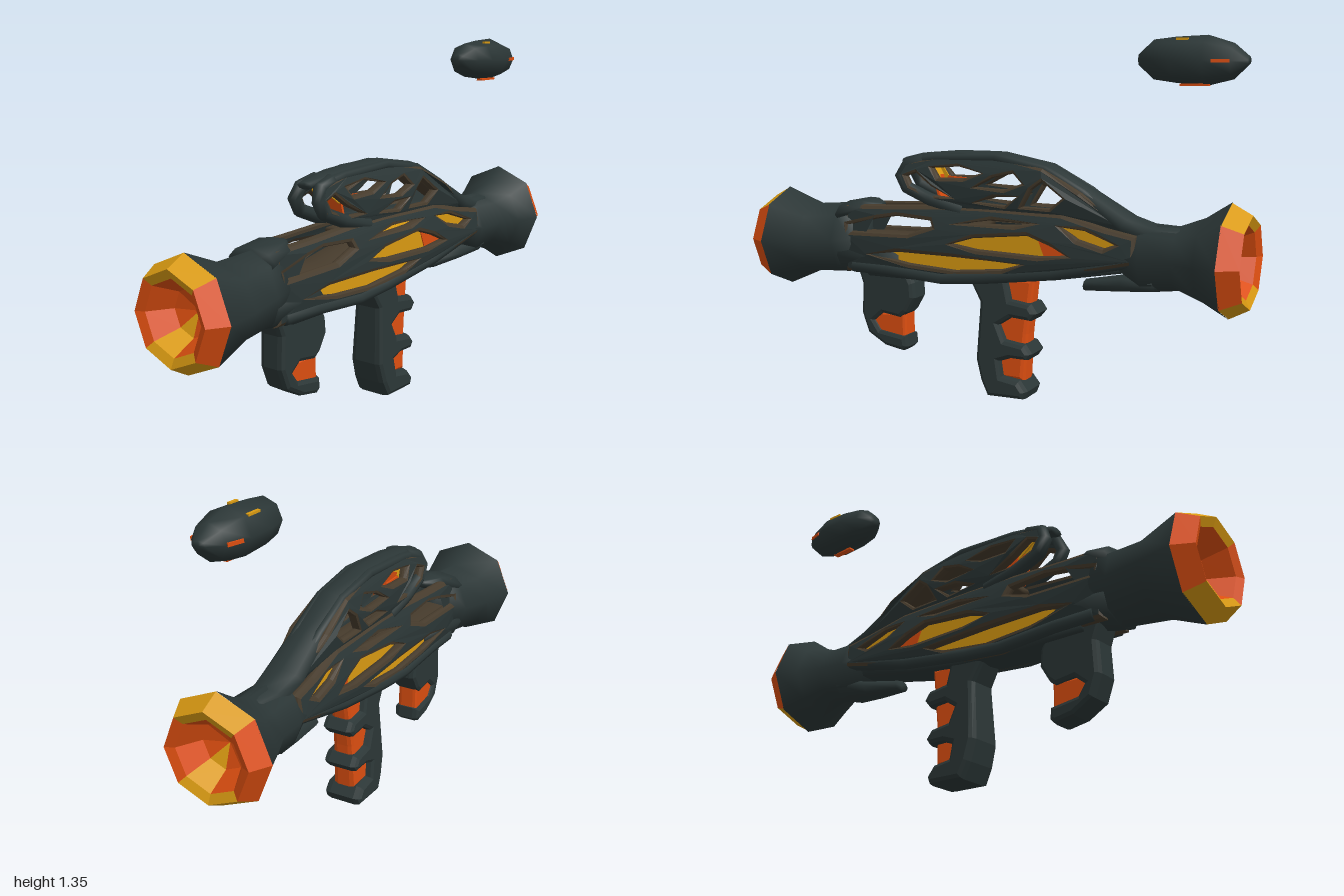
import * as THREE from 'three';

const mat = (name, color) => {
  const m = new THREE.MeshStandardMaterial({ color });
  m.name = name;
  return m;
};

export function createModel() {
  const root = new THREE.Group();
  const dark = mat('dark shell', 0x2b3636);
  const brown = mat('brown lining', 0x463b2c);
  const orange = mat('orange', 0xdc4e10);
  const yellow = mat('yellow', 0xd99a12);

  const add = (name, geo, material, parent = root) => {
    const m = new THREE.Mesh(geo, material);
    m.name = name;
    parent.add(m);
    return m;
  };

  // Oval tube through points [x, y, z, halfWidth, halfHeight]; fixed tangent optional
  function sweep(pts, { n = 8, tangent = null, caps = true } = {}) {
    const P = pts.map(p => new THREE.Vector3(p[0], p[1], p[2]));
    const pos = [], idx = [];
    P.forEach((p, i) => {
      const t = tangent ?? P[Math.min(i + 1, P.length - 1)].clone().sub(P[Math.max(i - 1, 0)]).normalize();
      const side = new THREE.Vector3(1, 0, 0).addScaledVector(t, -t.x).normalize();
      const up = t.clone().cross(side);
      for (let k = 0; k < n; k++) {
        const a = k / n * Math.PI * 2;
        const v = p.clone().addScaledVector(side, Math.cos(a) * pts[i][3])
          .addScaledVector(up, Math.sin(a) * pts[i][4]);
        pos.push(v.x, v.y, v.z);
        if (i < P.length - 1) {
          const k1 = (k + 1) % n, A = i * n + k, B = i * n + k1, C = A + n, D = B + n;
          idx.push(A, B, D, A, D, C);
        }
      }
    });
    if (caps) {
      const last = (P.length - 1) * n, c0 = P.length * n;
      pos.push(...P[0].toArray(), ...P[P.length - 1].toArray());
      for (let k = 0; k < n; k++) {
        const k1 = (k + 1) % n;
        idx.push(c0, k1, k, c0 + 1, last + k, last + k1);
      }
    }
    const g = new THREE.BufferGeometry();
    g.setAttribute('position', new THREE.Float32BufferAttribute(pos, 3));
    g.setIndex(idx);
    g.computeVertexNormals();
    return g;
  }

  // Side outline in [z, y] with holes, extruded across x with a bevelled edge
  function slab(outline, half, bevel, holes = [], size = bevel * 0.7) {
    const toPts = o => o.map(p => new THREE.Vector2(p[0], p[1]));
    const s = new THREE.Shape(toPts(outline));
    s.holes = holes.map(h => new THREE.Path(toPts(h)));
    const depth = 2 * (half - bevel);
    const g = new THREE.ExtrudeGeometry(s, {
      depth, bevelEnabled: bevel > 0, bevelThickness: bevel, bevelSize: size,
      bevelOffset: -size, bevelSegments: 2,
    });
    g.translate(0, 0, -depth / 2);
    return g.rotateY(-Math.PI / 2);
  }

  // Axial shells: rows of [z, y, halfWidth, halfHeight], back to front
  const axial = (rows, caps = true) =>
    sweep(rows.map(r => [0, r[1], r[0], r[2], r[3]]), { tangent: new THREE.Vector3(0, 0, 1), caps });
  add('frontBell', axial([
    [0.545, 0.56, 0.001, 0.001], [0.56, 0.565, 0.11, 0.14], [0.64, 0.555, 0.13, 0.142],
    [0.78, 0.545, 0.165, 0.14], [0.93, 0.543, 0.2, 0.203],
  ], false), dark);
  add('rearBell', axial([
    [-0.93, 0.585, 0.2, 0.205], [-0.84, 0.58, 0.165, 0.15], [-0.75, 0.58, 0.125, 0.115],
    [-0.63, 0.575, 0.115, 0.125], [-0.55, 0.585, 0.1, 0.075], [-0.53, 0.585, 0.001, 0.001],
  ], false), dark);
  add('frontLowerSleeve', axial([
    [0.36, 0.5, 0.08, 0.04], [0.45, 0.505, 0.098, 0.07], [0.62, 0.5, 0.115, 0.085],
  ]), dark);
  add('frontUpperSleeve', axial([
    [0.47, 0.695, 0.02, 0.015], [0.53, 0.69, 0.085, 0.035], [0.63, 0.66, 0.11, 0.045],
  ]), dark);
  add('rearFlap', axial([
    [-0.68, 0.5, 0.09, 0.045], [-0.55, 0.475, 0.065, 0.032], [-0.4, 0.455, 0.035, 0.022],
  ]), dark);

  // Faceted glowing mouth: sloped rim, lip and cavity
  function mouth(name, y) {
    const group = new THREE.Group();
    group.name = name;
    const rings = [[0.928, 0.202], [1, 0.163], [0.985, 0.13], [0.9, 0.085], [0.87, 0]];
    const tris = { orange: [], yellow: [] };
    const P = (r, k) => [Math.cos(k * Math.PI / 4) * r[1], Math.sin(k * Math.PI / 4) * r[1], r[0]];
    for (let i = 0; i < rings.length - 1; i++) for (let k = 0; k < 8; k++) {
      const gold = i < 2 ? [1, 2, 5, 6].includes(k) : k === 5;
      const a = P(rings[i], k), b = P(rings[i], k + 1), c = P(rings[i + 1], k + 1), d = P(rings[i + 1], k);
      tris[gold ? 'yellow' : 'orange'].push(...a, ...b, ...c, ...a, ...c, ...d);
    }
    for (const [key, m] of [['orange', orange], ['yellow', yellow]]) {
      const g = new THREE.BufferGeometry();
      g.setAttribute('position', new THREE.Float32BufferAttribute(tris[key], 3));
      g.computeVertexNormals();
      add(key + 'RimFaces', g, m, group);
    }
    group.position.y = y;
    root.add(group);
    return group;
  }
  mouth('frontMouth', 0.543);
  mouth('rearMouth', 0.585).rotation.y = Math.PI;

  // Glowing core inside the cage, covered by a brown deck toward the front
  add('core', slab([[0.47, 0.51], [0.3, 0.465], [0.1, 0.45], [-0.2, 0.48], [-0.6, 0.57], [-0.6, 0.64],
    [-0.42, 0.69], [-0.3, 0.69], [-0.2, 0.65], [0, 0.635], [0.17, 0.59], [0.3, 0.56], [0.47, 0.54]],
  0.07, 0.01), yellow);
  for (const s of [-1, 1]) add('coreOrangeEnd', slab(
    [[-0.23, 0.64], [-0.27, 0.54], [-0.4, 0.54], [-0.36, 0.61]], 0.003, 0), orange).position.x = s * 0.071;
  add('coreDeck', sweep([[0, 0.57, 0.55, 0.09, 0.02], [0, 0.575, 0.3, 0.09, 0.02], [0, 0.61, 0.15, 0.08, 0.02],
    [0, 0.65, 0, 0.07, 0.02]]), brown);
  add('belly', sweep([[0, 0.44, 0.5, 0.09, 0.03], [0, 0.435, 0.16, 0.085, 0.02], [0, 0.455, -0.05, 0.085, 0.025],
    [0, 0.49, -0.3, 0.085, 0.025], [0, 0.55, -0.6, 0.08, 0.03]]), dark);

  // Mirrored pierced wall: dark faces, brown cut edges, leaning in away from midY
  function wall(name, x, half, size, outline, holes, midY, lean) {
    for (const s of [-1, 1]) {
      const g = slab(outline, half, 0.016, holes, size);
      const p = g.attributes.position;
      for (let i = 0; i < p.count; i++) p.setX(i, p.getX(i) + s * (x - lean * (p.getY(i) - midY) ** 2));
      g.computeVertexNormals();
      add(name, g, [dark, brown]);
    }
  }
  wall('cageWall', 0.087, 0.02, 0.016, [[0.6, 0.43], [0.4, 0.435], [0.16, 0.422], [0, 0.437], [-0.3, 0.482],
    [-0.62, 0.56], [-0.62, 0.66], [-0.5, 0.68], [-0.33, 0.72], [0, 0.725], [0.2, 0.72], [0.4, 0.708], [0.6, 0.7]], [
    [[0.575, 0.62], [0.45, 0.652], [0.36, 0.668], [0.21, 0.66], [0.2, 0.64], [0.3, 0.605], [0.57, 0.598]],
    [[0.47, 0.512], [0.35, 0.53], [0.1, 0.53], [-0.18, 0.525], [-0.1, 0.5], [0.1, 0.478], [0.3, 0.488]],
    [[0.11, 0.58], [0.02, 0.608], [-0.2, 0.632], [-0.29, 0.603], [-0.36, 0.572], [-0.25, 0.562], [0, 0.567]],
    [[-0.33, 0.672], [-0.42, 0.665], [-0.54, 0.625], [-0.5, 0.61], [-0.4, 0.634]],
    [[0.1, 0.655], [-0.05, 0.678], [-0.23, 0.678], [-0.15, 0.668]],
  ], 0.56, 1.4);
  wall('archWall', 0.062, 0.02, 0.012, [[0.36, 0.83], [0.33, 0.88], [0.2, 0.905], [0.1, 0.918], [-0.05, 0.918],
    [-0.25, 0.88], [-0.4, 0.8], [-0.55, 0.7], [-0.64, 0.64], [-0.5, 0.63], [-0.3, 0.69], [0, 0.7],
    [0.1, 0.69], [0.24, 0.735], [0.34, 0.775]], [
    [[0.32, 0.825], [0.28, 0.84], [0.21, 0.79], [0.12, 0.752], [0.21, 0.757], [0.3, 0.79]],
    [[0.21, 0.86], [0.1, 0.87], [0, 0.85], [0.07, 0.828], [0.18, 0.825]],
    [[-0.05, 0.835], [-0.13, 0.855], [-0.17, 0.82], [-0.1, 0.795], [0.02, 0.798]],
    [[-0.21, 0.8], [-0.25, 0.83], [-0.33, 0.775], [-0.28, 0.735], [-0.17, 0.735]],
    [[0.02, 0.74], [-0.06, 0.765], [-0.15, 0.77], [-0.1, 0.735]],
  ], 0.79, 2.2);

  // Dark rails along the wall borders, points [z, y, optional x]
  function rail(name, x, r, path) {
    for (const s of [-1, 1]) add(name, sweep(path.map(p => [s * (p[2] ?? x), p[1], p[0], r, r])), dark);
  }
  rail('lowerRail', 0.08, 0.024, [[0.56, 0.455], [0.4, 0.455], [0.16, 0.442], [0, 0.457], [-0.3, 0.5], [-0.62, 0.575]]);
  rail('hoopRail', 0.057, 0.026, [[0.26, 0.888, 0.035], [0.33, 0.868, 0.045], [0.35, 0.825], [0.325, 0.78],
    [0.22, 0.738], [0.08, 0.705]]);
  rail('archSideRail', 0.042, 0.018, [[0.33, 0.875], [0.2, 0.896], [-0.05, 0.908], [-0.25, 0.872], [-0.4, 0.795], [-0.62, 0.645]]);
  add('spine', sweep([[0, 0.878, 0.36, 0.035, 0.014], [0, 0.892, 0.28, 0.045, 0.02], [0, 0.908, 0.12, 0.05, 0.02],
    [0, 0.91, -0.05, 0.05, 0.02], [0, 0.87, -0.25, 0.06, 0.025], [0, 0.78, -0.41, 0.07, 0.03],
    [0, 0.69, -0.56, 0.08, 0.035], [0, 0.655, -0.67, 0.07, 0.04], [0, 0.67, -0.8, 0.05, 0.02]]), dark);
  add('spineLining', sweep([[0, 0.885, 0.2, 0.04, 0.012], [0, 0.885, -0.05, 0.04, 0.012], [0, 0.845, -0.25, 0.05, 0.015],
    [0, 0.7, -0.48, 0.06, 0.02]]), brown);
  add('shoulderDeck', sweep([[0, 0.69, 0.2, 0.05, 0.014], [0, 0.69, 0, 0.07, 0.025], [0, 0.69, -0.25, 0.065, 0.025],
    [0, 0.68, -0.5, 0.05, 0.03]]), brown);
  // Coloured panels inside the hoop: a cross panel and strips on the inner wall faces
  add('hoopPanelLower', slab([[0.18, 0.72], [0.19, 0.72], [0.22, 0.83], [0.21, 0.83]], 0.04, 0), orange);
  add('hoopPanelUpper', slab([[0.21, 0.83], [0.22, 0.83], [0.25, 0.88], [0.24, 0.88]], 0.04, 0), yellow);
  for (const s of [-1, 1]) {
    add('hoopStripFront', slab([[0.3, 0.865], [0.28, 0.845], [0.21, 0.795], [0.19, 0.825], [0.215, 0.862]],
      0.003, 0), yellow).position.x = s * 0.032;
    add('hoopStripRear', slab([[0.21, 0.795], [0.12, 0.757], [0.1, 0.82], [0.19, 0.823]],
      0.003, 0), orange).position.x = s * 0.032;
  }

  // Front grip with its coloured finger notch
  add('frontGrip', slab([[0.57, 0.45], [0.545, 0.38], [0.55, 0.26], [0.52, 0.18], [0.44, 0.135], [0.36, 0.122],
    [0.34, 0.14], [0.345, 0.185], [0.46, 0.2], [0.485, 0.235], [0.45, 0.265], [0.37, 0.255], [0.34, 0.28],
    [0.305, 0.34], [0.31, 0.4], [0.34, 0.46]], 0.055, 0.024), dark);
  add('frontGripInsert', slab([[0.5, 0.27], [0.5, 0.17], [0.35, 0.15], [0.352, 0.275]], 0.042, 0.016), orange);

  // Rear grip with finger ridges, flaring toward the foot
  const grip = slab([[0.06, 0.45], [0.01, 0.36], [0.022, 0.14], [0, 0.06], [-0.03, 0], [-0.18, 0.004],
    [-0.192, 0.035], [-0.16, 0.075], [-0.09, 0.085], [-0.08, 0.14], [-0.12, 0.155], [-0.19, 0.155],
    [-0.207, 0.18], [-0.18, 0.215], [-0.1, 0.225], [-0.075, 0.28], [-0.12, 0.31], [-0.2, 0.305],
    [-0.225, 0.335], [-0.2, 0.37], [-0.12, 0.38], [-0.1, 0.46]], 0.07, 0.025);
  const insert = slab([[-0.04, 0.47], [-0.04, 0.07], [-0.17, 0.07], [-0.18, 0.25], [-0.205, 0.46]], 0.045, 0.022);
  for (const g of [grip, insert]) {
    const p = g.attributes.position;
    for (let i = 0; i < p.count; i++) p.setX(i, p.getX(i) * (1.16 - p.getY(i) * 0.7));
    g.computeVertexNormals();
  }
  add('rearGrip', grip, dark);
  add('rearGripInsert', insert, orange);

  // Floating pod above the rear, with small coloured seams
  add('floatingPod', axial([
    [-0.97, 1.265, 0.025, 0.015], [-0.92, 1.262, 0.065, 0.06], [-0.83, 1.265, 0.088, 0.085],
    [-0.72, 1.267, 0.088, 0.078], [-0.64, 1.268, 0.07, 0.068], [-0.592, 1.268, 0.03, 0.025],
  ]), dark);
  const seam = (x, y, z, w, h, d, m, turn = 0) => {
    const plate = add('podSeam', new THREE.BoxGeometry(w, h, d), m);
    plate.position.set(x, y, z);
    plate.rotation.y = turn;
  };
  seam(-0.06, 1.325, -0.78, 0.012, 0.008, 0.06, yellow);
  seam(0.035, 1.337, -0.75, 0.012, 0.008, 0.04, yellow);
  seam(0.01, 1.183, -0.79, 0.025, 0.008, 0.1, orange);
  for (const s of [-1, 1]) seam(s * 0.072, 1.264, -0.89, 0.008, 0.012, 0.06, orange, s * 0.25);

  return root;
}
